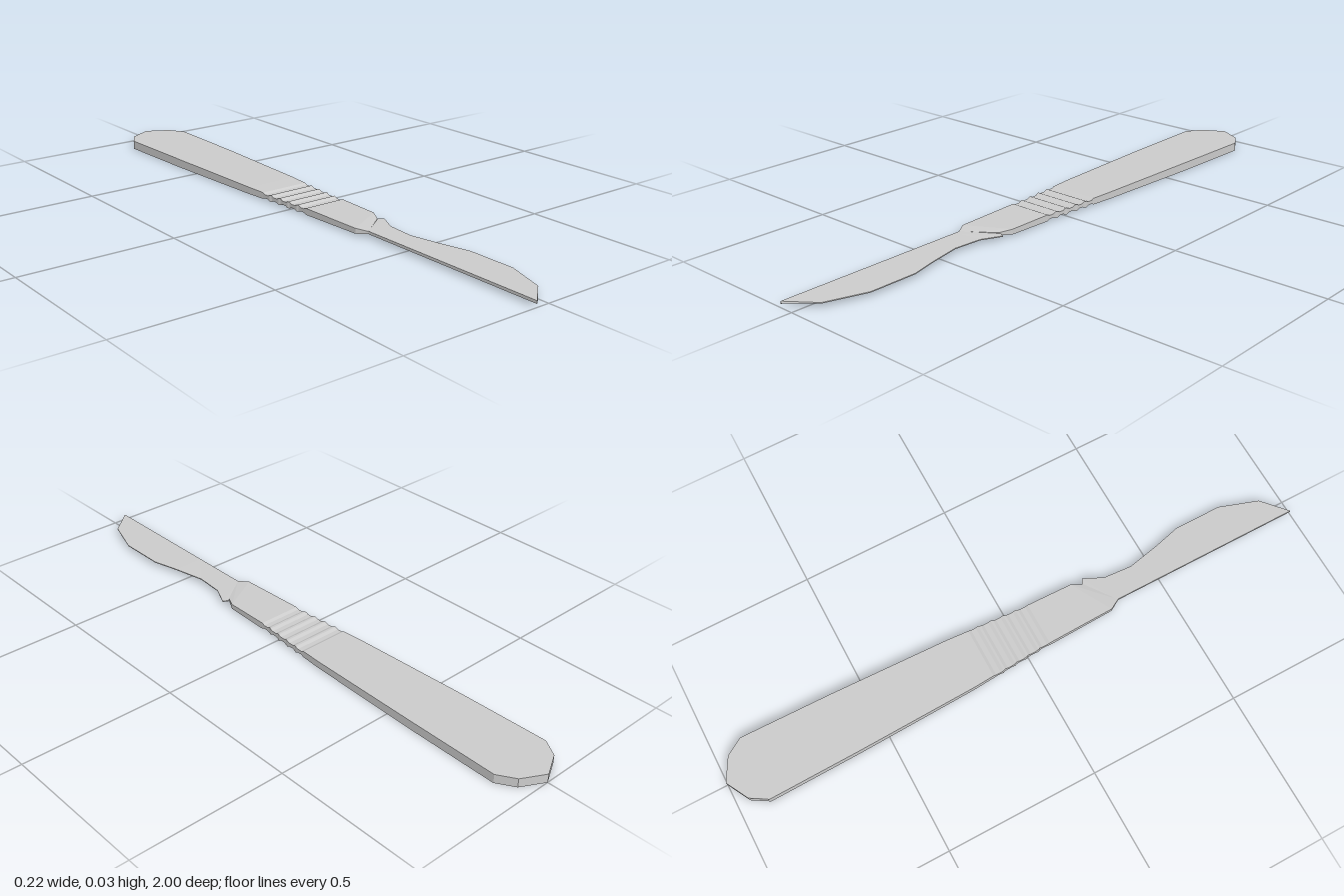
import * as THREE from 'three';

const MID = 0.0145; // height of the tool's centre plane

// Lofts four-cornered sections [xLow, zLow, halfLow, xHigh, zHigh, halfHigh], ordered from back to front
function loft(sections, name) {
  const rings = sections.map(([x0, z0, h0, x1, z1, h1]) => [
    [x0, MID - h0, z0], [x1, MID - h1, z1], [x1, MID + h1, z1], [x0, MID + h0, z0],
  ]);
  const pos = [];
  const quad = (a, b, c, d) => pos.push(...a, ...b, ...c, ...a, ...c, ...d);
  for (let i = 0; i < rings.length - 1; i++) {
    const r = rings[i], s = rings[i + 1];
    for (let k = 0; k < 4; k++) {
      const n = (k + 1) % 4;
      quad(r[k], r[n], s[n], s[k]);
    }
  }
  const f = rings[0], l = rings[rings.length - 1];
  quad(f[3], f[2], f[1], f[0]);
  quad(l[0], l[1], l[2], l[3]);
  const geo = new THREE.BufferGeometry();
  geo.setAttribute('position', new THREE.Float32BufferAttribute(pos, 3));
  geo.computeVertexNormals();
  const mesh = new THREE.Mesh(geo, new THREE.MeshStandardMaterial({ color: 0xcccccc, flatShading: true }));
  mesh.name = name;
  return mesh;
}

export function createModel() {
  const group = new THREE.Group();
  group.name = 'scalpel';

  // Handle: rounded butt and long taper, [z, halfWidth, halfThickness]
  const straight = [
    [-1, 0.001, 0.0145], [-0.96, 0.075, 0.0145], [-0.905, 0.109, 0.0145], [-0.8, 0.107, 0.0145],
    [-0.6, 0.103, 0.0143], [-0.2, 0.09, 0.0115],
  ];
  // Grip grooves across both faces
  for (let i = 0; i < 5; i++) {
    const z = -0.11 + i * 0.043;
    const w = 0.085 - i * 0.003;
    straight.push([z - 0.018, w, 0.0105], [z - 0.008, w, 0.006], [z + 0.008, w, 0.006], [z + 0.018, w, 0.0105]);
  }
  const handle = straight.map(([z, w, h]) => [-w, z, h, w, z, h]);
  // Slanted shoulder and bevel down to the blade
  handle.push(
    [-0.066, 0.31, 0.0085, 0.07, 0.235, 0.0085],
    [-0.046, 0.345, 0.004, 0.05, 0.275, 0.004],
  );
  group.add(loft(handle, 'handle'));

  // Blade: straight spine and curved cutting edge, [spineZ, edgeX, edgeZ]
  const blade = [
    [0.33, 0.045, 0.265], [0.34, 0.073, 0.28], [0.365, 0.042, 0.345], [0.44, 0.035, 0.44],
    [0.55, 0.058, 0.55], [0.64, 0.081, 0.64], [0.8, 0.081, 0.8], [0.93, 0.037, 0.93], [1, -0.043, 1],
  ].map(([zs, x, z]) => [-0.045, zs, 0.0045, x, z, 0.0015]);
  group.add(loft(blade, 'blade'));
  return group;
}
